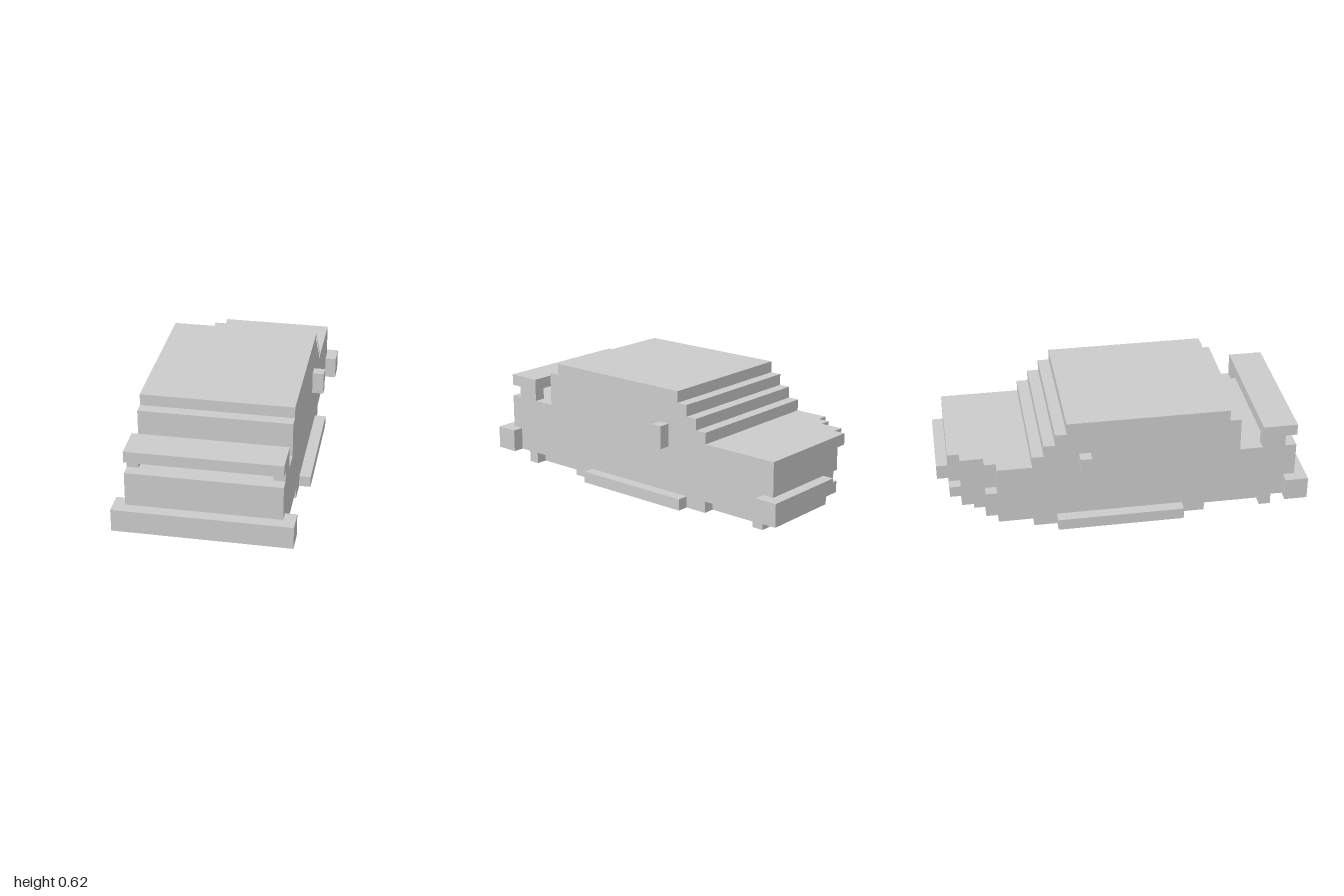
import * as THREE from 'three';

// All dimensions below are in cubes; one cube is 1/16 unit.
const U = 1 / 16;

export function createModel() {
  const group = new THREE.Group();
  const material = new THREE.MeshStandardMaterial({ color: 0xcccccc, flatShading: true });

  const add = (name, geometry) => {
    geometry.scale(U, U, U);
    const mesh = new THREE.Mesh(geometry, material);
    mesh.name = name;
    group.add(mesh);
  };

  // Box given by its extents along each axis
  const box = (name, x0, x1, y0, y1, z0, z1) => {
    const g = new THREE.BoxGeometry(x1 - x0, y1 - y0, z1 - z0);
    g.translate((x0 + x1) / 2, (y0 + y1) / 2, (z0 + z1) / 2);
    add(name, g);
  };

  const extrude = (points, depth) => new THREE.ExtrudeGeometry(
    new THREE.Shape(points.map(([a, b]) => new THREE.Vector2(a, b))),
    { depth, bevelEnabled: false });

  // Stepped cabin and deck: side outline in (-z, y), drawn across the width
  const cabin = extrude([
    [-15, 1], [9, 1], [9, 6], [8, 6], [8, 7], [7, 7], [7, 8], [6, 8], [6, 9],
    [5, 9], [5, 10], [-9, 10], [-9, 9], [-10, 9], [-10, 6], [-15, 6],
  ], 13);
  cabin.rotateY(Math.PI / 2).translate(-6.5, 0, 0);
  add('bodyAndCabin', cabin);

  // Broken nose: each slab is a plan outline whose rows [z0, z1, leftover edge x]
  // step away towards the missing corner
  const slab = (name, y0, y1, xMax, rows) => {
    const points = [[xMax, -rows[0][0]], [xMax, -rows.at(-1)[1]]].reverse();
    const edge = [];
    for (const [z0, z1, x] of rows) edge.push([x, -z0], [x, -z1]);
    const g = extrude([...points, ...edge], y1 - y0);
    g.rotateX(-Math.PI / 2).translate(0, y0, 0);
    add(name, g);
  };
  slab('hood', 5, 6, 6.5, [[-15, -14, -3.5], [-14, -12, -4.5], [-12, -11, -5.5], [-11, -9, -6.5]]);
  slab('noseUpper', 3, 5, 6.5,
    [[-15, -14, -2.5], [-14, -13, -3.5], [-13, -11, -4.5], [-11, -10, -5.5], [-10, -9, -6.5]]);
  slab('noseMiddle', 2, 3, 6.5,
    [[-15, -14, -1.5], [-14, -13, -3.5], [-13, -12, -4.5], [-12, -10, -5.5], [-10, -9, -6.5]]);
  slab('noseLower', 1, 2, 6.5,
    [[-15, -14, -2.5], [-14, -13, -3.5], [-13, -11, -4.5], [-11, -10, -5.5], [-10, -9, -6.5]]);

  // Underside with shallow wheel recesses
  slab('floorFrontLip', 0, 1, 6.5, [[-14, -13, -2.5]]);
  slab('floorFrontAxle', 0, 1, 5.5, [[-13, -12, -2.5], [-12, -11, -4.5], [-11, -8, -5.5]]);
  box('floorMiddle', -6.5, 6.5, 0, 1, -8, 7);
  box('floorRearAxle', -5.5, 5.5, 0, 1, 7, 12);
  box('floorRearLip', -6.5, 6.5, 0, 1, 12, 13);

  // Bumpers: the one at -z is broken off past the middle
  box('deckBumper', -7.5, 7.5, 1, 3, 15, 16);
  box('noseBumperUpper', -0.5, 7.5, 2, 3, -16, -15);
  box('noseBumperLower', 0.5, 7.5, 1, 2, -16, -15);
  box('noseBumperReturn', 6.5, 7.5, 1, 3, -15, -14);

  // Spoiler blade
  box('spoilerBlade', -6.5, 6.5, 7, 8, 12, 15);

  // Paired parts on both sides
  for (const s of [-1, 1]) {
    const pair = (name, a, b, ...rest) =>
      box(name, Math.min(s * a, s * b), Math.max(s * a, s * b), ...rest);
    pair('deckBumperReturn', 6.5, 7.5, 1, 3, 14, 15);
    pair('spoilerPost', 5.5, 6.5, 6, 7, 12, 14);
    pair('sideSkirt', 6.5, 7.5, 0, 1, -6, 5);
    pair('mirror', 6.5, 7.5, 5, 7, -4, -3);
  }

  return group;
}
